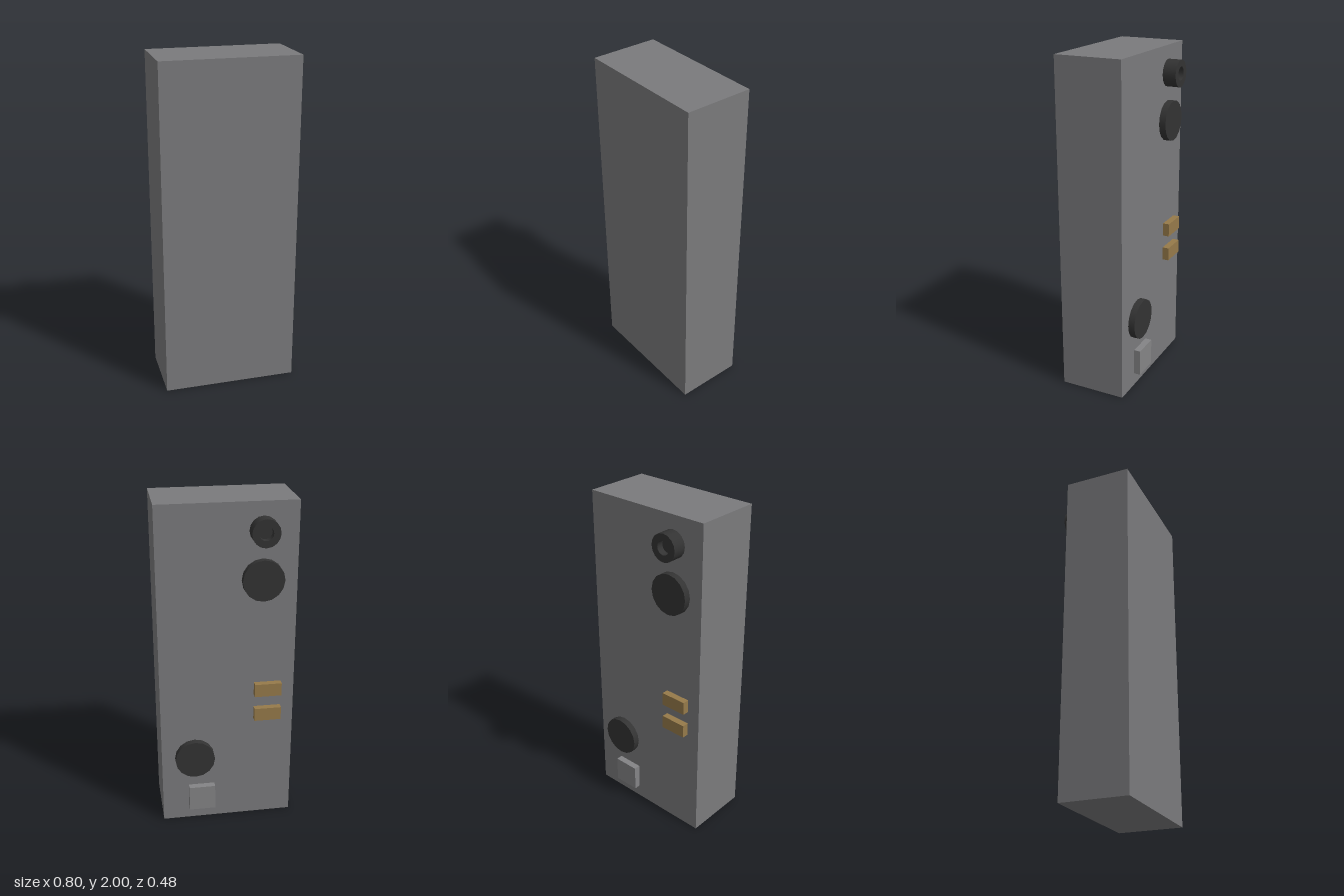
import * as THREE from 'three';

const material = (name, color) => {
  const m = new THREE.MeshStandardMaterial({ color });
  m.name = name;
  return m;
};

export function createModel() {
  const group = new THREE.Group();
  const grey = material('body grey', 0x7a7a7c);
  const silver = material('port grey', 0x848486);
  const black = material('rubber black', 0x333333);
  const brass = material('contact brass', 0x967a4a);
  const BACK = -0.16;

  const add = (name, geometry, mat, x, y, z) => {
    const mesh = new THREE.Mesh(geometry, mat);
    mesh.name = name;
    mesh.position.set(x, y, z);
    group.add(mesh);
    return mesh;
  };

  // Round part standing out of the back face
  const disc = (name, radius, depth, x, y) => {
    const geometry = new THREE.CylinderGeometry(radius, radius, depth, 16).rotateX(-Math.PI / 2);
    add(name, geometry, black, x, y, BACK - depth / 2);
  };

  // Block standing out of the back face
  const block = (name, mat, w, h, x, y) =>
    add(name, new THREE.BoxGeometry(w, h, 0.04), mat, x, y, BACK - 0.02);

  // Main case
  add('case', new THREE.BoxGeometry(0.8, 2, 0.4), grey, 0, 1, 0.04);

  // Socket: a collar with a blind hole, turned about the z axis
  const profile = [
    [0, 0.04], [0.04, 0.04],
    [0.04, 0.04], [0.04, 0.08],
    [0.04, 0.08], [0.08, 0.08],
    [0.08, 0.08], [0.08, 0],
  ].map(([r, h]) => new THREE.Vector2(r, h)).reverse();
  for (let i = 0; i < profile.length; i += 2) {
    const part = new THREE.LatheGeometry(profile.slice(i, i + 2), 16).rotateX(-Math.PI / 2);
    const name = ['socketWall', 'socketRim', 'socketBore', 'socketFloor'][i / 2];
    add(name, part, black, -0.2, 1.84, BACK);
  }

  // Round pads
  disc('upperPad', 0.12, 0.04, -0.2, 1.56);
  disc('lowerPad', 0.12, 0.04, 0.2, 0.44);

  // Contacts and port
  block('upperContact', brass, 0.16, 0.08, -0.24, 0.88);
  block('lowerContact', brass, 0.16, 0.08, -0.24, 0.72);
  block('port', silver, 0.16, 0.16, 0.16, 0.16);

  return group;
}
